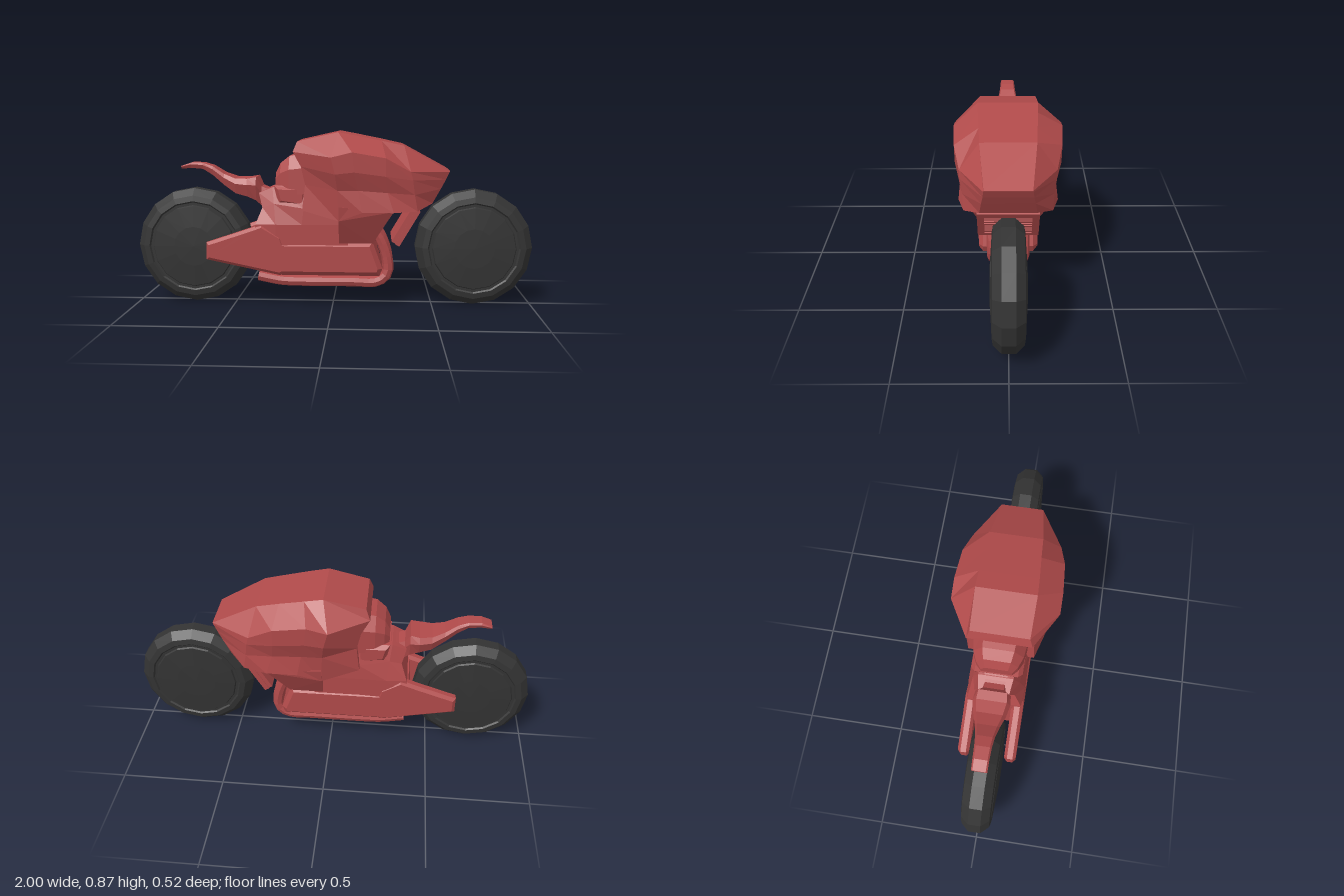
import * as THREE from 'three';
import { ConvexGeometry } from 'three/addons/geometries/ConvexGeometry.js';

const red = new THREE.MeshStandardMaterial({ color: 0xb04a4a, flatShading: true, side: THREE.DoubleSide });
const black = new THREE.MeshStandardMaterial({ color: 0x333333, flatShading: true });

function add(group, name, geometry, material = red) {
  const mesh = new THREE.Mesh(geometry, material);
  mesh.name = name;
  group.add(mesh);
  return mesh;
}

// Skin over mirrored cross-sections: each is a list of [x, y, z], top to bottom, on the +z side
function loft(sections) {
  const rings = sections.map(s => [...s, ...s.slice().reverse().map(([x, y, z]) => [x, y, -z])]);
  const n = rings[0].length, index = [];
  for (let i = 0; i < rings.length - 1; i++) {
    for (let j = 0; j < n; j++) {
      const k = (j + 1) % n, a = i * n, b = a + n;
      index.push(a + j, a + k, b + k, a + j, b + k, b + j);
    }
  }
  const end = (rings.length - 1) * n;
  // caps as strips between the two mirrored halves
  for (let j = 0; j < n / 2 - 1; j++) {
    const p = j, q = j + 1, r = n - 2 - j, s = n - 1 - j;
    index.push(p, r, q, p, s, r);
    index.push(end + p, end + q, end + r, end + p, end + r, end + s);
  }
  const g = new THREE.BufferGeometry();
  g.setAttribute('position', new THREE.Float32BufferAttribute(rings.flat(2), 3));
  g.setIndex(index);
  const flat = g.toNonIndexed();
  flat.computeVertexNormals();
  return flat;
}

// Side outline (x, y) given thickness from z0 to z1, with a chamfered edge
function plate(points, z0, z1, bevel = 0) {
  const shape = new THREE.Shape(points.map(p => new THREE.Vector2(...p)));
  const g = new THREE.ExtrudeGeometry(shape, {
    depth: z1 - z0 - 2 * bevel, bevelEnabled: bevel > 0, bevelSize: bevel,
    bevelThickness: bevel, bevelOffset: -bevel, bevelSegments: 1,
  });
  return g.translate(0, 0, z0 + bevel);
}

const mirrored = points => points.flatMap(([x, y, z]) =>
  [new THREE.Vector3(x, y, z), new THREE.Vector3(x, y, -z)]);

function createWheel(x, name) {
  const half = [[0, 0.083], [0.1, 0.081], [0.205, 0.074], [0.21, 0.066], [0.223, 0.066],
    [0.23, 0.073], [0.258, 0.068], [0.293, 0.03]];
  const profile = [...half.map(([r, z]) => [r, -z]), ...half.slice().reverse()];
  const g = new THREE.LatheGeometry(profile.map(([r, z]) => new THREE.Vector2(r, z)), 16);
  g.rotateX(Math.PI / 2);
  const wheel = new THREE.Mesh(g, black);
  wheel.position.set(x, 0.295, 0);
  wheel.name = name;
  return wheel;
}

function createRadiator() {
  const radiator = new THREE.Group();
  radiator.name = 'radiator';
  const frame = new THREE.Shape([[-0.145, -0.1], [0.145, -0.1], [0.145, 0.1], [-0.145, 0.1]]
    .map(p => new THREE.Vector2(...p)));
  frame.holes.push(new THREE.Path([[-0.112, -0.08], [-0.112, 0.075], [0.112, 0.075], [0.112, -0.08]]
    .map(p => new THREE.Vector2(...p))));
  add(radiator, 'radiatorFrame', new THREE.ExtrudeGeometry(frame, { depth: 0.025, bevelEnabled: false }));
  add(radiator, 'radiatorCore', new THREE.BoxGeometry(0.285, 0.195, 0.02)).position.z = -0.01;
  for (let i = 0; i < 7; i++) {
    add(radiator, 'radiatorFin', new THREE.BoxGeometry(0.224, 0.012, 0.02)).position.set(0, -0.068 + i * 0.022, 0.012);
  }
  // turn to face forward, then lean the top forward
  const lean = new THREE.Group();
  lean.name = 'radiatorMount';
  radiator.rotation.y = Math.PI / 2;
  lean.add(radiator);
  lean.rotation.z = -0.53;
  lean.position.set(0.36, 0.415, 0);
  return lean;
}

export function createModel() {
  const bike = new THREE.Group();
  bike.name = 'motorcycle';
  bike.add(createWheel(-0.707, 'rearWheel'), createWheel(0.707, 'frontWheel'));

  // Faceted upper shell, from the rear edge to the nose
  add(bike, 'tankShell', loft([
    [[-0.17, 0.83, 0.14], [-0.19, 0.78, 0.155], [-0.15, 0.71, 0.165], [-0.13, 0.62, 0.16], [-0.145, 0.495, 0.165]],
    [[0.03, 0.875, 0.145], [0, 0.76, 0.26], [0.02, 0.68, 0.257], [0.03, 0.6, 0.225], [0.035, 0.45, 0.212]],
    [[0.12, 0.858, 0.142], [0.1, 0.785, 0.26], [0.11, 0.69, 0.257], [0.13, 0.6, 0.225], [0.15, 0.495, 0.235]],
    [[0.24, 0.834, 0.135], [0.26, 0.757, 0.25], [0.26, 0.67, 0.248], [0.27, 0.59, 0.222], [0.3, 0.495, 0.234]],
    [[0.35, 0.81, 0.13], [0.38, 0.69, 0.222], [0.39, 0.65, 0.22], [0.4, 0.58, 0.21], [0.415, 0.5, 0.205]],
    [[0.575, 0.688, 0.106], [0.573, 0.682, 0.108], [0.555, 0.645, 0.112], [0.53, 0.6, 0.12], [0.49, 0.53, 0.13]],
  ]));

  // Lower fairing tapering to the engine
  add(bike, 'lowerFairing', new ConvexGeometry(mirrored([
    [0.035, 0.52, 0.225], [0.3, 0.5, 0.233], [0.035, 0.45, 0.212], [0.035, 0.33, 0.146], [0.2, 0.33, 0.146],
  ])));

  // Engine block between the wheels
  add(bike, 'engineBlock', plate([[-0.39, 0.4], [-0.41, 0.2], [-0.25, 0.163], [0.235, 0.163],
    [0.25, 0.2], [0.2, 0.335], [-0.25, 0.335]], -0.146, 0.146, 0.022));

  // Swingarms on either side of the rear wheel
  const arm = [[-0.63, 0.325], [-0.63, 0.24], [-0.26, 0.163], [-0.2, 0.2], [-0.25, 0.36], [-0.35, 0.42], [-0.45, 0.385]];
  for (const side of [1, -1]) {
    const g = plate(arm, side > 0 ? 0.088 : -0.146, side > 0 ? 0.146 : -0.088, 0.015);
    add(bike, side > 0 ? 'leftSwingarm' : 'rightSwingarm', g);
  }

  // Mid frame rising from the engine to the seat, narrowing upward
  add(bike, 'midFrame', loft([
    [[-0.37, 0.57, 0.075], [-0.35, 0.5, 0.1], [-0.38, 0.42, 0.135], [-0.4, 0.3, 0.14]],
    [[-0.3, 0.6, 0.085], [-0.29, 0.52, 0.115], [-0.28, 0.42, 0.143], [-0.28, 0.3, 0.143]],
    [[-0.14, 0.62, 0.1], [-0.14, 0.5, 0.135], [-0.15, 0.42, 0.14], [-0.15, 0.3, 0.14]],
    [[0.08, 0.62, 0.1], [0.08, 0.5, 0.135], [0.08, 0.42, 0.14], [0.08, 0.3, 0.14]],
  ]));

  // Rounded hump behind the tank, with a collar below it
  add(bike, 'tankHump', loft([
    [[-0.285, 0.67, 0.055], [-0.285, 0.64, 0.075], [-0.285, 0.59, 0.075]],
    [[-0.26, 0.72, 0.065], [-0.26, 0.67, 0.1], [-0.26, 0.59, 0.1]],
    [[-0.215, 0.755, 0.075], [-0.215, 0.69, 0.12], [-0.215, 0.57, 0.12]],
    [[-0.13, 0.77, 0.08], [-0.13, 0.7, 0.13], [-0.13, 0.57, 0.13]],
  ]));
  add(bike, 'humpCollar', plate([[-0.29, 0.61], [-0.27, 0.52], [-0.13, 0.5], [-0.13, 0.61]], -0.125, 0.125, 0.02));

  // Swept seat and tail: x, top, bottom, half width
  const seat = [[-0.77, 0.7, 0.685, 0.037], [-0.72, 0.717, 0.69, 0.038], [-0.66, 0.716, 0.685, 0.04],
    [-0.61, 0.7, 0.655, 0.045], [-0.55, 0.662, 0.605, 0.058], [-0.49, 0.64, 0.565, 0.078],
    [-0.43, 0.64, 0.55, 0.09], [-0.385, 0.648, 0.53, 0.085], [-0.36, 0.6, 0.5, 0.06],
    [-0.33, 0.588, 0.48, 0.06], [-0.27, 0.61, 0.48, 0.075]];
  add(bike, 'seat', loft(seat.map(([x, top, bottom, w]) => [[x, top, w * 0.8], [x, (top * 2 + bottom) / 3, w], [x, bottom, w * 0.75]])));

  // Four parallel exhaust pipes under the engine
  const route = [[0.2, 0.4], [0.245, 0.33], [0.276, 0.23], [0.272, 0.165], [0.225, 0.127], [0.1, 0.125], [-0.2, 0.125], [-0.26, 0.128], [-0.375, 0.15]];
  for (const z of [-0.077, -0.026, 0.026, 0.077]) {
    const path = new THREE.CatmullRomCurve3(route.map(([x, y]) => new THREE.Vector3(x, y, z)), false, 'centripetal');
    add(bike, 'exhaustPipe', new THREE.TubeGeometry(path, 28, 0.028, 8));
  }

  bike.add(createRadiator());
  return bike;
}
